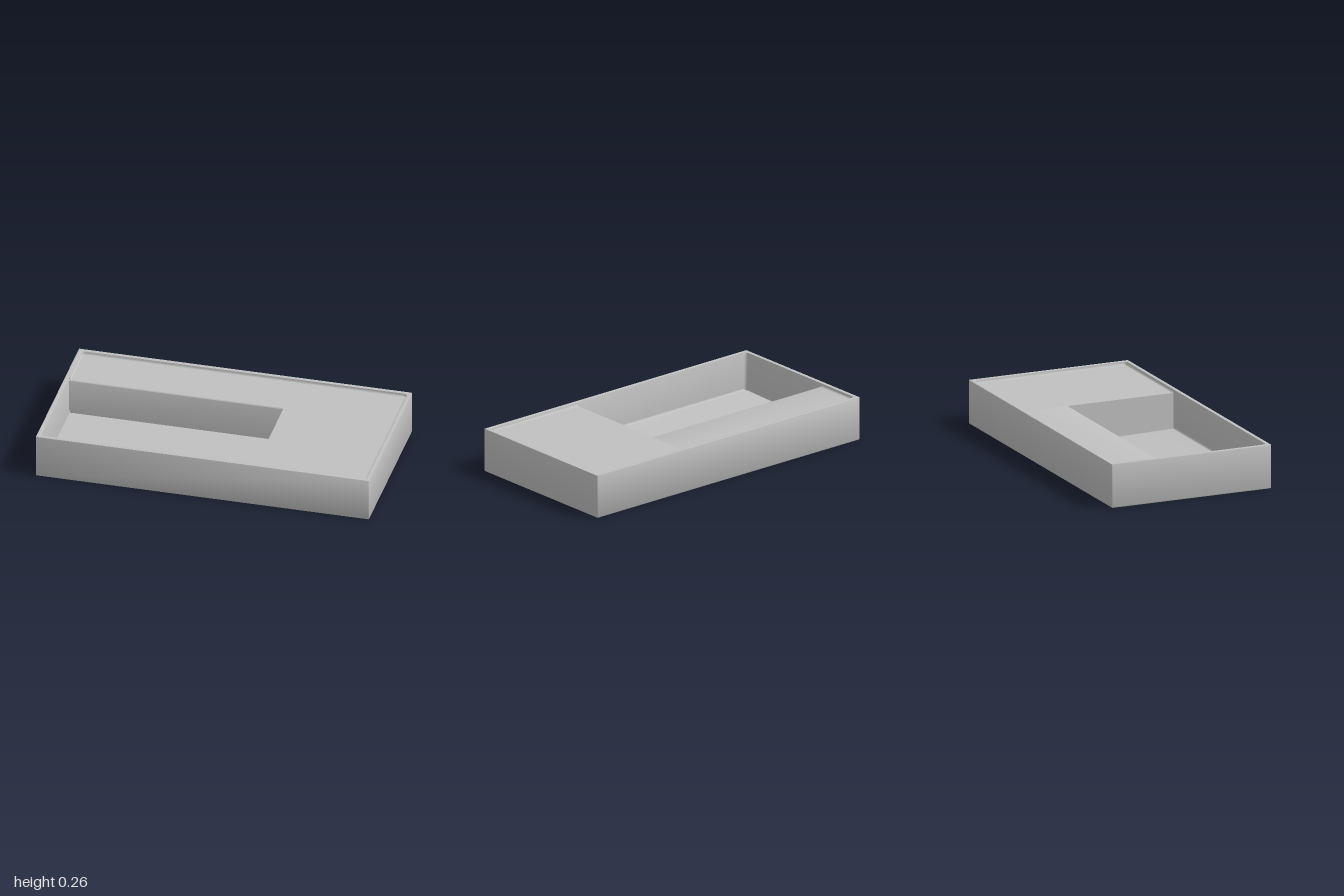
import * as THREE from 'three';
import { toCreasedNormals } from 'three/addons/utils/BufferGeometryUtils.js';

const HX = 1, HZ = 0.51, TOP = 0.265, DECK = 0.245, WALL = 0.024;
const IX = HX - WALL, IZ = HZ - WALL;      // inner faces of the rim
const BASIN_X = 0.31, BASIN_Z = -0.185;    // basin's inner corner

const ceramic = new THREE.MeshStandardMaterial({ name: 'greyCeramic', color: 0xc0c0c0, side: THREE.DoubleSide });

// Rounded rectangle, as points running round the y axis
function loop(inset, y, r, seg = 6) {
  const pts = [];
  const cx = HX - inset - r, cz = HZ - inset - r;
  [[1, 1], [-1, 1], [-1, -1], [1, -1]].forEach(([sx, sz], q) => {
    for (let i = 0; i <= seg; i++) {
      const a = (q + i / seg) * Math.PI / 2;
      pts.push([sx * cx + r * Math.cos(a), y, sz * cz + r * Math.sin(a)]);
    }
  });
  return pts;
}

// Outer body and rim: loops joined from the underside, over the rim, down the inside
function bodyGeometry() {
  const rings = [
    [0.006, 0, 0.004], [0.002, 0.002, 0.004], [0, 0.006, 0.004], [0, 0.261, 0.004],
    [0.001, 0.264, 0.004], [0.004, TOP, 0.004], [0.02, TOP, 0.022], [0.023, 0.264, 0.022],
    [WALL, 0.261, 0.022], [WALL, 0.008, 0.022],
  ].map(([inset, y, r]) => loop(inset, y, r));
  const n = rings[0].length;
  const pos = rings.flat(2);
  const idx = [];
  for (let k = 0; k < rings.length - 1; k++) {
    for (let i = 0; i < n; i++) {
      const a = k * n + i, b = k * n + (i + 1) % n;
      idx.push(a, a + n, b, b, a + n, b + n);
    }
  }
  // underside
  pos.push(0, 0, 0);
  for (let i = 0; i < n; i++) idx.push(rings.length * n, i, (i + 1) % n);
  const g = new THREE.BufferGeometry();
  g.setAttribute('position', new THREE.Float32BufferAttribute(pos, 3));
  g.setIndex(idx);
  return toCreasedNormals(g, 0.7);
}

// Quarter arc of points
function arc(cx, cy, r, from, to, seg = 5) {
  return Array.from({ length: seg + 1 }, (_, i) => {
    const a = (from + (to - from) * i / seg) * Math.PI / 180;
    return [cx + r * Math.cos(a), cy + r * Math.sin(a)];
  });
}

function extrude(points, depth) {
  const shape = new THREE.Shape(points.map(p => new THREE.Vector2(p[0], p[1])));
  return new THREE.ExtrudeGeometry(shape, { depth, bevelEnabled: false });
}

// Profile of [z, y] points swept from x0 to x1
function sweepX(points, x0, x1) {
  const g = extrude(points.map(([z, y]) => [-z, y]), x1 - x0);
  g.rotateY(Math.PI / 2).translate(x0, 0, 0);
  return toCreasedNormals(g, 0.6);
}

// Profile of [x, y] points swept from z0 to z1
function sweepZ(points, z0, z1) {
  return toCreasedNormals(extrude(points, z1 - z0).translate(0, 0, z0), 0.6);
}

// Concave fillet between deck and rim; s is the side of the wall
function fillet(wall, s, r = 0.012) {
  return [[wall, DECK - 0.002], [wall, DECK + r],
    ...arc(wall - s * r, DECK + r, r, s > 0 ? 0 : 180, s > 0 ? -90 : 270),
    [wall - s * r, DECK - 0.002]];
}

export function createModel() {
  const model = new THREE.Group();
  model.name = 'washbasin';
  const add = (name, geometry) => {
    const mesh = new THREE.Mesh(geometry, ceramic);
    mesh.name = name;
    model.add(mesh);
  };

  add('bodyAndRim', bodyGeometry());

  // Deck behind the basin, with rounded edge and a drain slot at the foot
  add('backDeck', sweepX([
    [-IZ, 0.004], [-IZ, DECK], ...arc(BASIN_Z - 0.012, DECK - 0.012, 0.012, 90, 0),
    [BASIN_Z, 0.042], [BASIN_Z - 0.015, 0.038], [BASIN_Z - 0.015, 0.004],
  ], -IX, BASIN_X));

  // Deck beside the basin, full depth
  add('sideDeck', sweepX([[-IZ, 0.004], [-IZ, DECK], [IZ, DECK], [IZ, 0.004]], BASIN_X, IX));

  // Basin floor, falling gently towards the slot and curving up at the front
  add('basinFloor', sweepX([
    [BASIN_Z - 0.02, 0.004], [BASIN_Z - 0.02, 0.014], [IZ - 0.012, 0.03],
    ...arc(IZ - 0.012, 0.042, 0.012, -90, 0), [IZ, 0.004],
  ], -IX, BASIN_X));

  // Soft joints where the deck meets the rim
  add('backFillet', sweepX(fillet(-IZ, -1), -IX, IX));
  add('frontFillet', sweepX(fillet(IZ, 1), BASIN_X, IX));
  add('leftFillet', sweepZ(fillet(IX, 1), -IZ, IZ));
  add('rightFillet', sweepZ(fillet(-IX, -1), -IZ, BASIN_Z - 0.012));

  return model;
}
